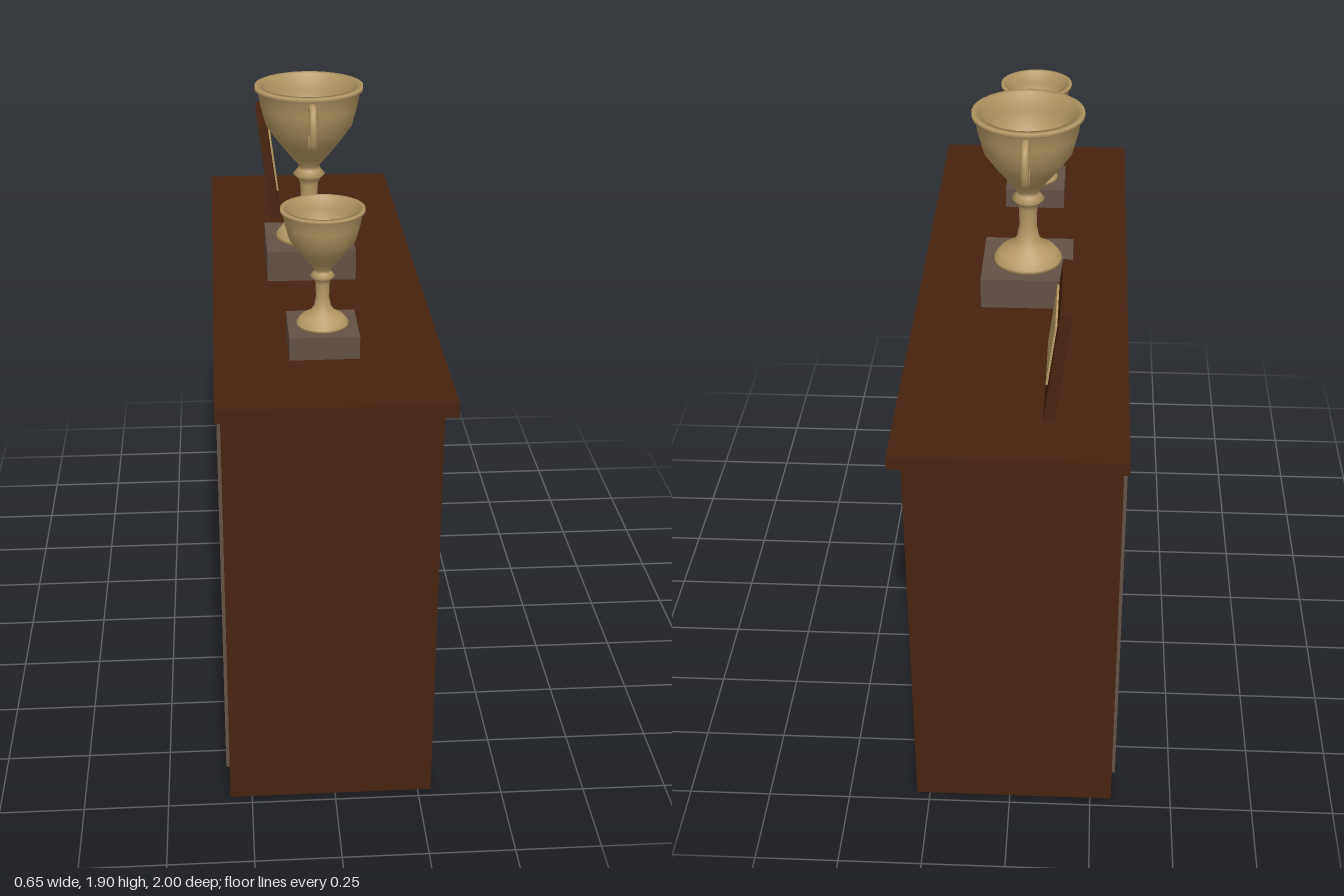
import * as THREE from 'three';

const mat = (name, color) => {
  const m = new THREE.MeshStandardMaterial({ color });
  m.name = name;
  return m;
};

export function createModel() {
  const wood = mat('dark wood', 0x45230f);
  const taupe = mat('taupe board', 0x625145);
  const gold = mat('gold', 0xb59a64);
  const paper = mat('paper', 0xd2cabc);
  const orange = mat('orange cover', 0xc8693a);
  const steel = mat('dark screw', 0x2c1a10);

  const model = new THREE.Group();
  model.name = 'trophyCabinet';

  // Box given by its limits on each axis
  const box = (parent, name, m, [x0, x1], [y0, y1], [z0, z1]) => {
    const mesh = new THREE.Mesh(new THREE.BoxGeometry(x1 - x0, y1 - y0, z1 - z0), m);
    mesh.position.set((x0 + x1) / 2, (y0 + y1) / 2, (z0 + z1) / 2);
    mesh.name = name;
    parent.add(mesh);
    return mesh;
  };
  const group = (name, x = 0, y = 0, z = 0) => {
    const g = new THREE.Group();
    g.name = name;
    g.position.set(x, y, z);
    model.add(g);
    return g;
  };

  // Cabinet, open towards +x
  const cabinet = group('cabinet');
  const depth = [-0.315, 0.29];
  box(cabinet, 'topSlab', wood, [-0.33, 0.325], [1.27, 1.31], [-1, 1]);
  box(cabinet, 'middleShelf', wood, [-0.315, 0.285], [0.69, 0.73], [-0.93, 0.93]);
  box(cabinet, 'bottomShelf', wood, [-0.315, 0.285], [0.107, 0.15], [-0.93, 0.93]);
  box(cabinet, 'divider', wood, [-0.315, 0.288], [0.15, 1.27], [-0.02, 0.02]);
  box(cabinet, 'plinth', taupe, [-0.3, 0.24], [0.002, 0.107], [-0.93, 0.93]);
  box(cabinet, 'rearKickBoard', wood, [-0.315, -0.3], [0, 0.107], [-0.93, 0.93]);
  for (const s of [-1, 1]) {
    box(cabinet, 'endPanel', wood, depth, [0, 1.27], [s * 0.95 - 0.021, s * 0.95 + 0.021]);
    for (const y of [0.17, 0.72, 1.245]) {
      const screw = new THREE.Mesh(new THREE.CylinderGeometry(0.007, 0.007, 0.004, 10), steel);
      screw.rotation.z = -Math.PI / 2;
      screw.position.set(0.291, y, s * 0.95);
      screw.name = 'screw';
      cabinet.add(screw);
    }
  }
  // Back boards with narrow gaps between them
  const seams = [-0.965, -0.465, 0, 0.467, 0.965];
  for (let i = 0; i < 4; i++) {
    box(cabinet, 'backBoard', taupe, [-0.325, -0.315], [0.107, 1.27], [seams[i] + 0.002, seams[i + 1] - 0.002]);
  }

  // Trophies: one turned profile, scaled to each height
  const profile = [
    [0, 0], [0.105, 0], [0.105, 0.012], [0.088, 0.034], [0.052, 0.055], [0.034, 0.08],
    [0.027, 0.12], [0.028, 0.18], [0.036, 0.198], [0.05, 0.212], [0.036, 0.228], [0.032, 0.24],
    [0.058, 0.27], [0.098, 0.32], [0.134, 0.37], [0.15, 0.43], [0.158, 0.475], [0.168, 0.482],
    [0.168, 0.495], [0.146, 0.495], [0.138, 0.44], [0.12, 0.38], [0.062, 0.305], [0, 0.28],
  ].map(([r, y]) => new THREE.Vector2(r, y));
  const cupGeometry = new THREE.LatheGeometry(profile, 32);
  const handlePath = new THREE.CatmullRomCurve3([
    [0.148, 0.455], [0.18, 0.472], [0.21, 0.468], [0.23, 0.43], [0.222, 0.37],
    [0.19, 0.34], [0.155, 0.347], [0.122, 0.365],
  ].map(([z, y]) => new THREE.Vector3(0, y, z)));
  const handleGeometry = new THREE.TubeGeometry(handlePath, 14, 0.012, 8);

  const trophy = (name, x, y, z, baseWidth, baseHeight, cupHeight, handles) => {
    const g = group(name, x, y, z);
    const w = baseWidth / 2;
    box(g, 'trophyBase', taupe, [-w, w], [0, baseHeight], [-w, w]);
    const cup = new THREE.Group();
    cup.name = 'cup';
    cup.position.y = baseHeight;
    cup.scale.setScalar(cupHeight / 0.495);
    const bowl = new THREE.Mesh(cupGeometry, gold);
    bowl.name = 'cupBody';
    cup.add(bowl);
    if (handles) {
      for (const turn of [0, Math.PI]) {
        const handle = new THREE.Mesh(handleGeometry, gold);
        handle.rotation.y = turn;
        handle.name = 'cupHandle';
        cup.add(handle);
      }
    }
    g.add(cup);
  };
  trophy('largeTrophy', -0.016, 1.31, -0.055, 0.28, 0.097, 0.498, true);
  trophy('mediumTrophy', -0.016, 1.31, 0.594, 0.2, 0.068, 0.35, false);
  trophy('upperShelfTrophy', 0.025, 0.73, 0.502, 0.187, 0.055, 0.332, true);
  trophy('lowerShelfTrophy', 0.05, 0.15, -0.516, 0.177, 0.058, 0.312, false);

  // Picture frames leaning back towards -x
  const frame = (name, x, y, z, width, height, inner) => {
    const g = group(name, x, y, z);
    g.rotation.z = 0.13;
    box(g, 'frameBoard', wood, [-0.032, 0], [0, height], [-width / 2, width / 2]);
    box(g, 'certificate', gold, [0.001, 0.007], [inner[0], inner[1]], [-inner[2] / 2, inner[2] / 2]);
  };
  frame('topFrame', -0.09, 1.313, -0.653, 0.313, 0.34, [0.09, 0.28, 0.23]);
  frame('shelfFrame', -0.09, 0.733, -0.496, 0.318, 0.4, [0.08, 0.337, 0.227]);

  // Stacked books, spines towards the back
  const book = (name, cover, y, h, x0, x1, z0, z1) => {
    const g = group(name, 0, y, 0);
    const t = 0.007;
    box(g, 'lowerCover', cover, [x0, x1], [0, t], [z0, z1]);
    box(g, 'upperCover', cover, [x0, x1], [h - t, h], [z0, z1]);
    box(g, 'spine', cover, [x0, x0 + t], [t, h - t], [z0, z1]);
    box(g, 'pages', paper, [x0 + t, x1 - 0.008], [t, h - t], [z0 + 0.01, z1 - 0.01]);
  };
  book('lowerBook', taupe, 0.15, 0.055, -0.13, 0.11, 0.34, 0.69);
  book('upperBook', orange, 0.205, 0.052, -0.12, 0.1, 0.355, 0.672);

  return model;
}
